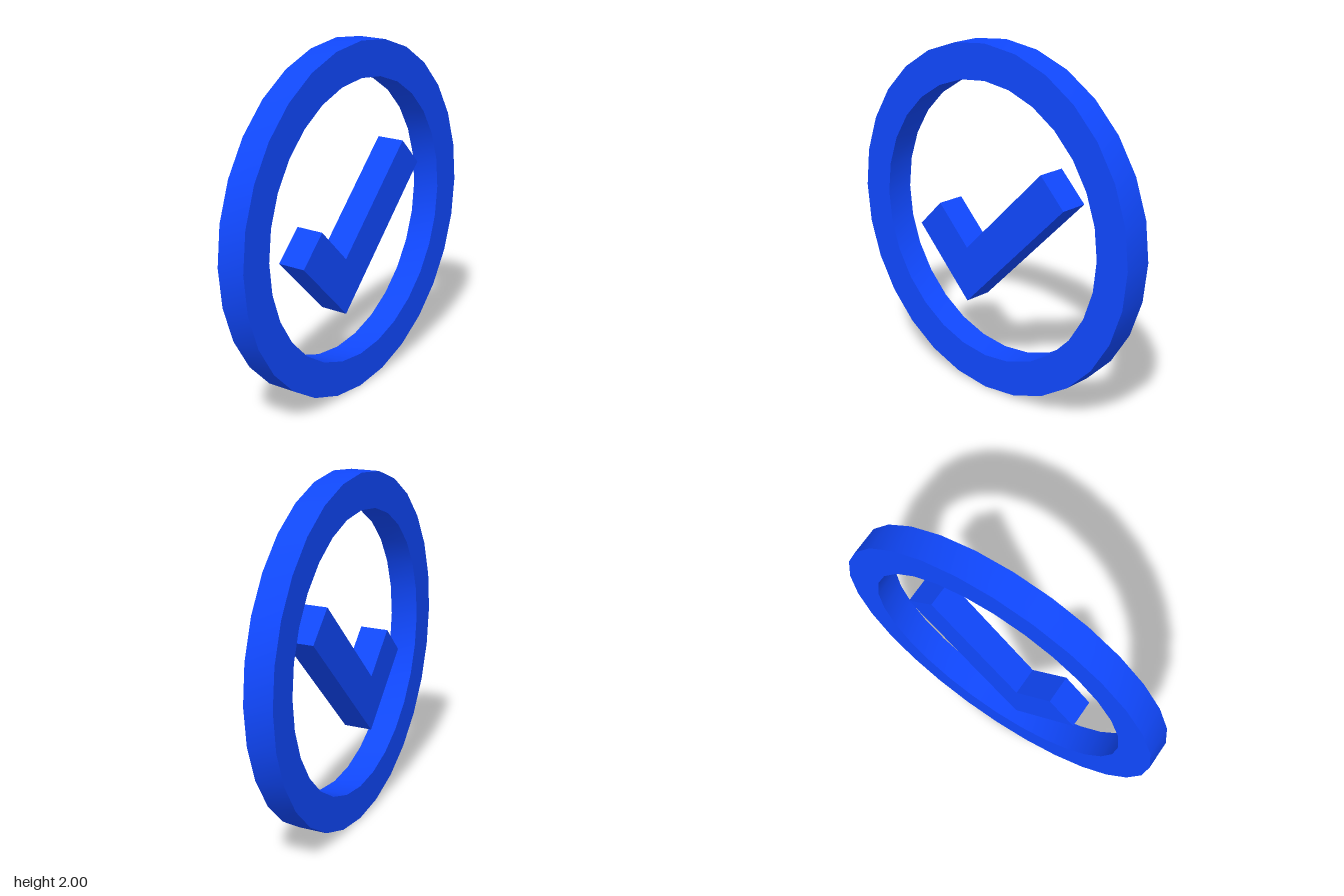
import * as THREE from 'three';
import { toCreasedNormals } from 'three/addons/utils/BufferGeometryUtils.js';

const DEPTH = 0.165;
const SIDES = 28;

// Regular polygon outline centred at (0, 1), with a corner at the top
function polygon(radius) {
  return Array.from({ length: SIDES }, (_, i) => {
    const a = (i / SIDES) * Math.PI * 2;
    return new THREE.Vector2(radius * Math.cos(a), 1 + radius * Math.sin(a));
  });
}

// Flat plate centred on z = 0: sharp rims, smooth round walls
function plate(name, shape, material) {
  const geometry = new THREE.ExtrudeGeometry(shape, { depth: DEPTH, bevelEnabled: false });
  geometry.translate(0, 0, -DEPTH / 2);
  const mesh = new THREE.Mesh(toCreasedNormals(geometry, Math.PI / 6), material);
  mesh.name = name;
  return mesh;
}

export function createModel() {
  const group = new THREE.Group();
  group.name = 'checkBadge';
  const blue = new THREE.MeshStandardMaterial({ color: 0x1048ff });

  // Outer ring
  const ring = new THREE.Shape(polygon(1));
  ring.holes.push(new THREE.Path(polygon(0.8)));
  group.add(plate('ring', ring, blue));

  // Check mark floating in the middle
  const check = new THREE.Shape([
    [-0.142, 0.497], [0.57, 1.209], [0.409, 1.37],
    [-0.142, 0.82], [-0.357, 1.035], [-0.519, 0.874],
  ].map(([x, y]) => new THREE.Vector2(x, y)));
  group.add(plate('checkMark', check, blue));

  return group;
}
